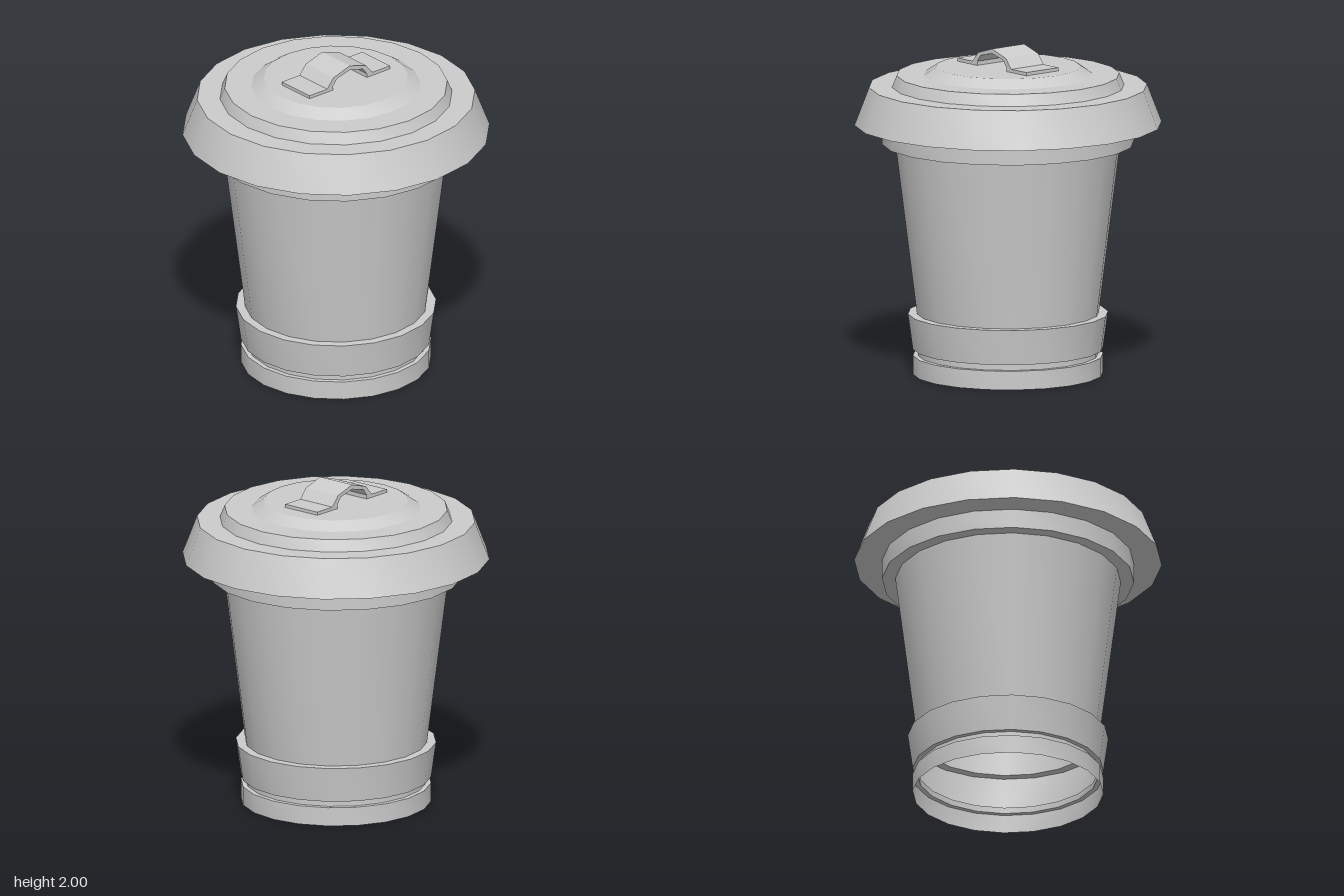
import * as THREE from 'three';
import { toCreasedNormals } from 'three/addons/utils/BufferGeometryUtils.js';

const SIDES = 20;
const material = new THREE.MeshStandardMaterial({ color: 0xcccccc, side: THREE.DoubleSide });

// Thin turned shell from [radius, height] pairs, listed bottom to top
function turned(name, profile) {
  const points = profile.map(([r, y]) => new THREE.Vector2(r, y));
  const geometry = toCreasedNormals(new THREE.LatheGeometry(points, SIDES), 0.5);
  const mesh = new THREE.Mesh(geometry, material);
  mesh.name = name;
  return mesh;
}

// Strap handle: flat feet with a faceted arch between them
function strapHandle() {
  const outer = [[0.32, 1.88], [0.32, 1.9], [0.18, 1.9], [0.13, 1.96]];
  const inner = [[0.105, 1.945], [0.135, 1.905], [0.135, 1.88]];
  const mirror = (list) => list.map(([x, y]) => [-x, y]).reverse();
  const outline = [
    ...outer, [0, 2], ...mirror(outer),
    ...mirror(inner), [0, 1.972], ...inner,
  ];
  const shape = new THREE.Shape(outline.map(([x, y]) => new THREE.Vector2(x, y)));
  const geometry = new THREE.ExtrudeGeometry(shape, { depth: 0.256, bevelEnabled: false });
  geometry.translate(0, 0, -0.128);
  const mesh = new THREE.Mesh(geometry, material);
  mesh.name = 'handle';
  return mesh;
}

export function createModel() {
  const bin = new THREE.Group();
  bin.name = 'dustbin';
  bin.add(
    // Foot ring, open underneath
    turned('footRing', [[0.575, 0], [0.575, 0.115], [0.545, 0.115]]),
    turned('groove', [[0.545, 0.115], [0.545, 0.153]]),
    // Flared band around the bottom
    turned('lowerBand', [[0.545, 0.153], [0.575, 0.153], [0.605, 0.37], [0.55, 0.37]]),
    // Tapered body and the rim on top of it
    turned('body', [[0.55, 0.37], [0.68, 1.41]]),
    turned('rim', [[0.68, 1.41], [0.76, 1.41], [0.76, 1.53]]),
    // Stepped lid with an overhanging skirt
    turned('lid', [
      [0.76, 1.53], [0.928, 1.53], [0.84, 1.76], [0.702, 1.76],
      [0.673, 1.83], [0.51, 1.83], [0.435, 1.88], [0, 1.88],
    ]),
    strapHandle(),
  );
  return bin;
}
